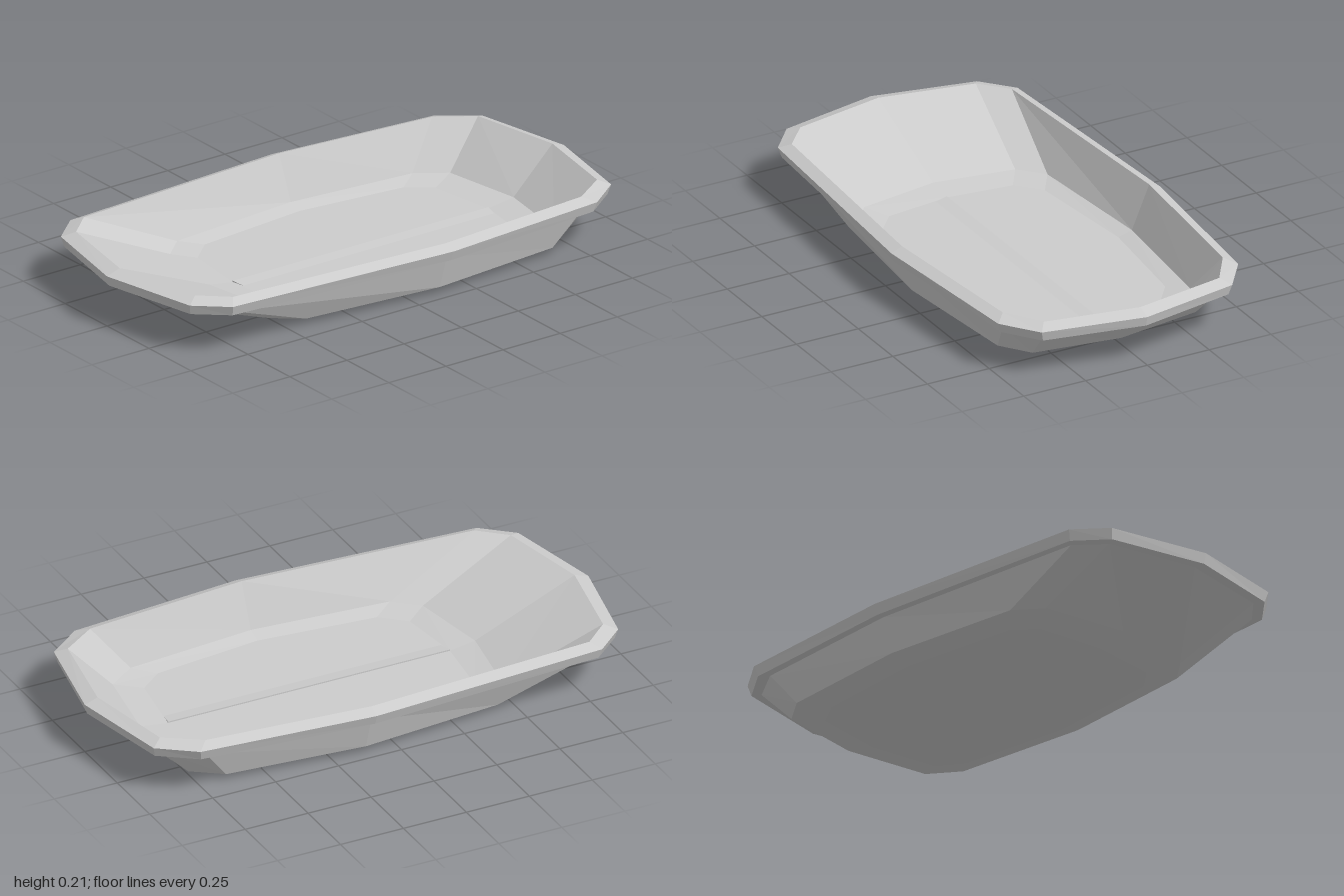
import * as THREE from 'three';

const material = new THREE.MeshStandardMaterial({ color: 0xcccccc, flatShading: true });

// Full twelve-sided ring from its +x half, listed as [x, z] from back to front.
function ring(y, half) {
  const right = half.map(([x, z]) => new THREE.Vector3(x, y, z));
  const left = half.slice(1, -1).reverse().map(([x, z]) => new THREE.Vector3(-x, y, z));
  return [...right, ...left];
}

// Faceted skin through successive rings.
function loft(name, rings) {
  const points = [];
  for (let r = 0; r < rings.length - 1; r++) {
    const a = rings[r], b = rings[r + 1];
    for (let i = 0; i < a.length; i++) {
      const j = (i + 1) % a.length;
      points.push(a[i], b[i], b[j], a[i], b[j], a[j]);
    }
  }
  return facets(name, points);
}

function facets(name, points) {
  const geometry = new THREE.BufferGeometry().setFromPoints(points);
  geometry.computeVertexNormals();
  const mesh = new THREE.Mesh(geometry, material);
  mesh.name = name;
  return mesh;
}

export function createModel() {
  const group = new THREE.Group();
  group.name = 'shallowTub';

  // Outlines shared by the hull, rim and basin
  const lip = [[0, -0.95], [0.355, -0.885], [0.445, -0.75], [0.5, -0.12], [0.445, 0.775], [0.355, 0.875], [0, 0.945]];
  const outer = [[0, -1], [0.385, -0.925], [0.485, -0.79], [0.543, -0.12], [0.485, 0.805], [0.385, 0.92], [0, 1]];
  const chine = [[0, -0.81], [0.33, -0.76], [0.41, -0.65], [0.46, -0.12], [0.41, 0.43], [0.33, 0.53], [0, 0.58]];
  const keel = [[0, -0.69], [0.27, -0.65], [0.335, -0.55], [0.38, -0.12], [0.335, 0.34], [0.26, 0.43], [0, 0.46]];
  const basinEdge = [[0, -0.78], [0.31, -0.73], [0.385, -0.62], [0.43, -0.12], [0.385, 0.41], [0.305, 0.5], [0, 0.55]];
  const floorEdge = [[0, -0.67], [0.26, -0.63], [0.33, -0.54], [0.375, -0.12], [0.33, 0.33], [0.25, 0.42], [0, 0.45]];
  const centre = Array(7).fill([0, -0.12]);
  const underRim = outer.map(([x, z]) => [x * 0.975, z * 0.99]);

  // Outside shell
  group.add(loft('hull', [ring(0, centre), ring(0, keel), ring(0.025, chine), ring(0.152, lip)]));

  // Overhanging rim with a bevelled top
  group.add(loft('rim', [ring(0.152, lip), ring(0.152, underRim), ring(0.19, outer), ring(0.208, lip)]));

  // Inside walls and floor
  const floorY = 0.03;
  group.add(loft('basin', [ring(0.208, lip), ring(0.045, basinEdge), ring(floorY, floorEdge), ring(floorY, centre)]));

  // Faint step along the middle of the floor
  const v = (x, y, z) => new THREE.Vector3(x, floorY + y, z);
  const topBack = v(0, 0.005, -0.67), topFront = v(0, 0.005, 0.45);
  const lowBack = v(0.05, 0.0005, -0.66), lowFront = v(0.05, 0.0005, 0.44);
  const baseBack = v(0, 0, -0.67), baseFront = v(0, 0, 0.45);
  group.add(facets('floorSeam', [
    topBack, topFront, lowFront, topBack, lowFront, lowBack,
    baseBack, baseFront, topFront, baseBack, topFront, topBack,
    baseFront, lowFront, topFront, baseBack, topBack, lowBack,
  ]));
  return group;
}
